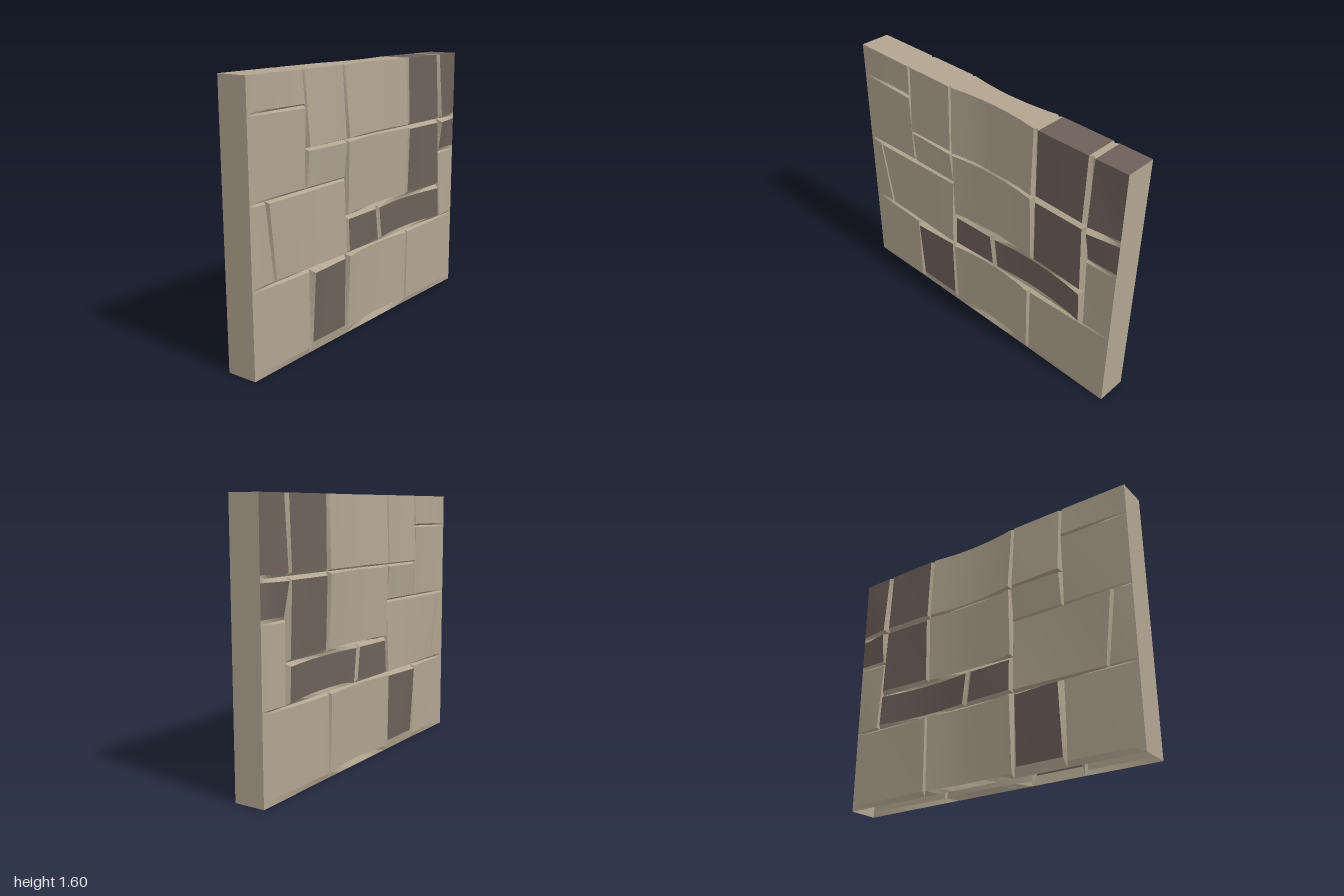
import * as THREE from 'three';

const light = new THREE.MeshStandardMaterial({ color: 0xb2a591, side: THREE.DoubleSide });
light.name = 'paleStone';
const dark = new THREE.MeshStandardMaterial({ color: 0x6e605a, side: THREE.DoubleSide });
dark.name = 'darkStone';

const W = 1, H = 1.6, RIM = 0.1, N = 6;
const lerp = THREE.MathUtils.lerp;

// Runs of stones: bottom, top and joints along x ([bottom, top] where a joint leans)
const COURSES = [
  { y: [0, 0.5], x: [-1, -0.55, -0.215, 0.415, 1], dark: [1] },
  { y: [0.5, 0.955], x: [-1, [-0.825, -0.885], -0.215], dark: [] },
  { y: [0.5, 0.73], x: [-0.215, [0.13, 0.105], [0.815, 0.804]], dark: [0, 1] },
  { y: [0.5, 0.955], x: [[0.815, 0.794], 1], dark: [] },
  { y: [0.73, 1.178], x: [-0.215, 0.418, [0.804, 0.785]], dark: [1] },
  { y: [0.955, 1.178], x: [[0.794, 0.785], 1], dark: [0] },
  { y: [0.955, 1.178], x: [-0.565, -0.215], dark: [] },
  { y: [0.955, 1.41], x: [-1, -0.565], dark: [] },
  { y: [1.41, H], x: [-1, [-0.565, -0.575]], dark: [] },
  { y: [1.178, H], x: [[-0.565, -0.575], [-0.215, -0.23], [0.418, 0.41], [0.785, 0.78], 1], dark: [2, 3] },
];

// Proud corners of the stonework: x, y, extra height
const PEAKS = [
  [-0.51, 0.47, 0.04], [-0.19, 0.48, 0.028], [0.39, 0.48, 0.018], [0.78, 0.7, 0.02],
  [0.79, 0.53, 0.02], [-0.86, 0.94, 0.016], [-0.24, 0.52, 0.018], [-0.2, 1.16, 0.015],
  [0.405, 1.165, 0.02], [-0.2, 0.745, 0.012], [0.775, 1.16, 0.018], [0.775, 0.75, 0.018],
  [0.82, 1.16, 0.034], [-0.23, 1.165, 0.022], [-0.545, 1.2, 0.026], [-0.195, 1.19, 0.026],
  [0.77, 1.2, 0.018], [0.81, 1.2, 0.026], [-0.585, 1.395, 0.014],
];

// Height of a stone corner: level at the wall's rim, raised near the peaks
function height(x, y) {
  if (Math.abs(x) === W) return RIM;
  const level = y < 0.1 ? 0.108 : 0.102;
  return level + Math.max(...PEAKS.map(([px, py, h]) =>
    h * Math.exp(-((x - px) ** 2 + (y - py) ** 2) / 0.0025)));
}

// Bottom of a joint, running out level at the wall's ends
const footHeight = (x, y) => (Math.abs(x) === W ? RIM : y === 0 ? 0.096 : 0.088);

// Moves a point of the stonework to the front or the back
const place = ([x, y, z], side) => [x, y, side > 0 ? z : 0.01 - z];

// Point on a stone face, twisted between its corners; wide stones are hollowed
function faceSurface(cell, isDark) {
  const inset = isDark ? 0.02 : 0.011;
  const sx = [1, -1, -1, 1], sy = [1, 1, -1, -1];
  const [a, b, c, d] = cell.map(([x, y], i) => {
    const px = Math.abs(x) === W ? x : x + sx[i] * inset;
    const py = y === H ? y : y + sy[i] * (y === 0 ? 3 : 1) * inset;
    return [px, py, height(px, py)];
  });
  const sag = b[0] - a[0] > 0.59 ? 0.028 : 0;
  return (u, v) => {
    const p = [0, 1, 2].map((k) => lerp(lerp(a[k], b[k], u), lerp(d[k], c[k], u), v));
    p[2] -= sag * 4 * u * (1 - u);
    return p;
  };
}

// Flat quads, each from four corners in counter-clockwise order
function quads(list, material, name, flip) {
  const pos = [];
  for (const [a, b, c, d] of list) {
    const tris = flip ? [a, c, b, a, d, c] : [a, b, c, a, c, d];
    for (const p of tris) pos.push(...p);
  }
  const geo = new THREE.BufferGeometry();
  geo.setAttribute('position', new THREE.Float32BufferAttribute(pos, 3));
  geo.computeVertexNormals();
  const mesh = new THREE.Mesh(geo, material);
  mesh.name = name;
  return mesh;
}

// One stone filling a cell: smooth face plus bevels running down into the joints
function stone(cell, isDark, side) {
  const g = new THREE.Group();
  g.name = isDark ? 'darkStone' : 'paleStone';
  const flip = side < 0, at = faceSurface(cell, isDark);

  const geo = new THREE.PlaneGeometry(1, 1, N, N), p = geo.attributes.position;
  for (let i = 0; i < p.count; i++) {
    p.setXYZ(i, ...place(at(p.getX(i) + 0.5, p.getY(i) + 0.5), side));
  }
  if (flip) geo.setIndex(Array.from(geo.index.array).reverse());
  geo.computeVertexNormals();
  const face = new THREE.Mesh(geo, isDark ? dark : light);
  face.name = 'stoneFace';
  g.add(face);

  const foot = cell.map(([x, y]) => [x, y, footHeight(x, y)]);
  const edge = [(t) => at(t, 0), (t) => at(1, t), (t) => at(1 - t, 1), (t) => at(0, 1 - t)];
  const bevels = [];
  for (let e = 0; e < 4; e++) {
    if (e === 2 && cell[2][1] === H) continue; // closed by the wall's top
    const low = (t) => foot[e].map((v, k) => lerp(v, foot[(e + 1) % 4][k], t));
    for (let i = 0; i < N; i++) {
      const t = i / N, s = (i + 1) / N;
      bevels.push([low(t), low(s), edge[e](s), edge[e](t)].map((q) => place(q, side)));
    }
  }
  g.add(quads(bevels, light, 'bevels', flip));
  return g;
}

// Top of the wall over one stone, from its front edge to its back edge
function topStrip(cell, isDark) {
  const g = new THREE.Group();
  g.name = 'wallTop';
  const at = faceSurface(cell, isDark);
  const across = (p, q) => [place(p, 1), place(q, 1), place(q, -1), place(p, -1)];
  const [right, left] = [cell[2], cell[3]].map(([x, y]) => [x, y, footHeight(x, y)]);
  const middle = [];
  for (let i = 0; i < N; i++) middle.push(across(at(i / N, 1), at((i + 1) / N, 1)));
  g.add(quads(middle, isDark ? dark : light, 'stoneTop', false));
  g.add(quads([across(left, at(0, 1)), across(at(1, 1), right)], light, 'jointTop', false));
  return g;
}

export function createModel() {
  const wall = new THREE.Group();
  wall.name = 'stoneWall';

  // The same stonework on both sides, joined along the top and open underneath
  for (const { y: [y0, y1], x, dark: darkOnes } of COURSES) {
    const joints = x.map((v) => (Array.isArray(v) ? v : [v, v]));
    for (let i = 0; i < joints.length - 1; i++) {
      const [l, r] = [joints[i], joints[i + 1]];
      const cell = [[l[0], y0], [r[0], y0], [r[1], y1], [l[1], y1]];
      const isDark = darkOnes.includes(i);
      wall.add(stone(cell, isDark, 1), stone(cell, isDark, -1));
      if (y1 === H) wall.add(topStrip(cell, isDark));
    }
  }

  // Flat ends
  for (const s of [1, -1]) {
    const f = s > 0 ? RIM : 0.01 - RIM, b = 0.01 - f;
    wall.add(quads([[[s * W, 0, f], [s * W, 0, b], [s * W, H, b], [s * W, H, f]]], light, 'wallEnd', false));
  }
  return wall;
}
